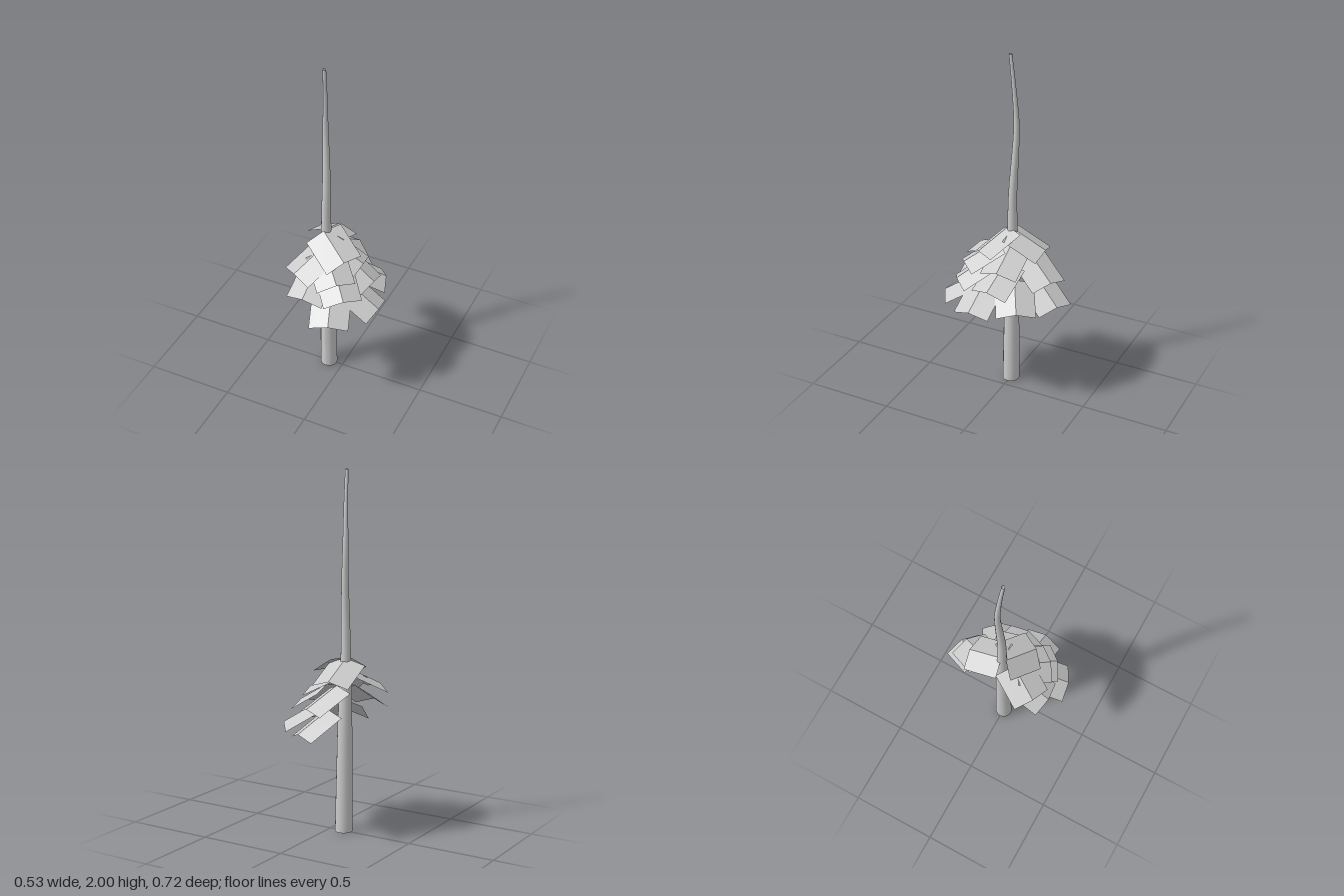
import * as THREE from 'three';

const RAD = Math.PI / 180;
const LEAF_LENGTH = 0.22, LEAF_WIDTH = 0.116, FOLD = 19 * RAD;

// Trunk stations, evenly spaced in height: x, z, radius
const TRUNK = [
  [-0.087, 0, 0.049], [-0.089, 0, 0.047], [-0.091, 0, 0.044], [-0.093, 0, 0.041],
  [-0.097, 0, 0.035], [-0.098, 0, 0.028], [-0.097, -0.002, 0.024], [-0.1, -0.013, 0.02],
  [-0.106, -0.019, 0.016], [-0.1, -0.007, 0.012], [-0.094, 0.012, 0.009],
];

// Leaf tiers: each leaf is ridge tip x, y, z, then yaw and roll in degrees
const TIERS = [
  { pitch: 26, leaves: [[-0.11, 0.885, -0.2, 183, 0], [0.07, 0.89, 0.125, 60, 16]] },
  { pitch: 27, leaves: [[0.124, 0.805, -0.012, 90, 0], [-0.18, 0.81, 0.239, -29, 0], [0.07, 0.8, 0.219, 44, 5]] },
  { pitch: 30, leaves: [[-0.019, 0.74, -0.275, 153, 3], [0.2, 0.72, 0.009, 82, -3], [-0.102, 0.7, 0.3, -3, 0], [0.12, 0.715, 0.239, 42, 4]] },
  { pitch: 31, leaves: [[0.002, 0.61, -0.326, 153, 3], [0.197, 0.625, -0.17, 119, 0], [0.266, 0.605, 0.089, 87, 3], [0.074, 0.595, 0.34, 19, 0]] },
];

// Open, gently bent and tapering trunk: a cylinder moved onto the stations
function trunkGeometry() {
  const axis = new THREE.CatmullRomCurve3(TRUNK.map(([x, z], i) => new THREE.Vector3(x, i * 0.2, z)));
  const geo = new THREE.CylinderGeometry(1, 1, 2, 16, 30, true);
  const p = geo.attributes.position;
  for (let i = 0; i < p.count; i++) {
    const t = Math.min(1, Math.max(0, (p.getY(i) + 1) / 2));
    const k = Math.min(TRUNK.length - 2, Math.floor(t * (TRUNK.length - 1)));
    const r = THREE.MathUtils.lerp(TRUNK[k][2], TRUNK[k + 1][2], t * (TRUNK.length - 1) - k);
    const c = axis.getPoint(t);
    p.setXYZ(i, c.x + p.getX(i) * r, t * 2, c.z + p.getZ(i) * r);
  }
  geo.computeVertexNormals();
  return geo;
}

// Rectangular card folded along its middle, ridge tip at the origin
function leafGeometry() {
  const geo = new THREE.PlaneGeometry(2, LEAF_LENGTH, 2, 1);
  geo.rotateX(-Math.PI / 2);
  geo.translate(0, 0, -LEAF_LENGTH / 2);
  const p = geo.attributes.position;
  for (let i = 0; i < p.count; i++) {
    const x = p.getX(i);
    p.setX(i, x * LEAF_WIDTH * Math.cos(FOLD));
    p.setY(i, -Math.abs(x) * LEAF_WIDTH * Math.sin(FOLD));
  }
  const flat = geo.toNonIndexed();
  flat.computeVertexNormals();
  return flat;
}

export function createModel() {
  const model = new THREE.Group();
  model.name = 'plant';

  const bark = new THREE.MeshStandardMaterial({ color: 0xcccccc, side: THREE.DoubleSide });
  const trunk = new THREE.Mesh(trunkGeometry(), bark);
  trunk.name = 'trunk';
  model.add(trunk);

  // Crown of folded leaves, hanging outward and down
  const crown = new THREE.Group();
  crown.name = 'crown';
  const leafMat = new THREE.MeshStandardMaterial({ color: 0xcccccc, side: THREE.DoubleSide, flatShading: true });
  const leafGeo = leafGeometry();
  for (const { pitch, leaves } of TIERS) {
    for (const [x, y, z, yaw, roll] of leaves) {
      const leaf = new THREE.Mesh(leafGeo, leafMat);
      leaf.name = 'leaf';
      leaf.position.set(x, y, z);
      leaf.rotation.set(pitch * RAD, yaw * RAD, roll * RAD, 'YXZ');
      crown.add(leaf);
    }
  }
  model.add(crown);
  return model;
}
